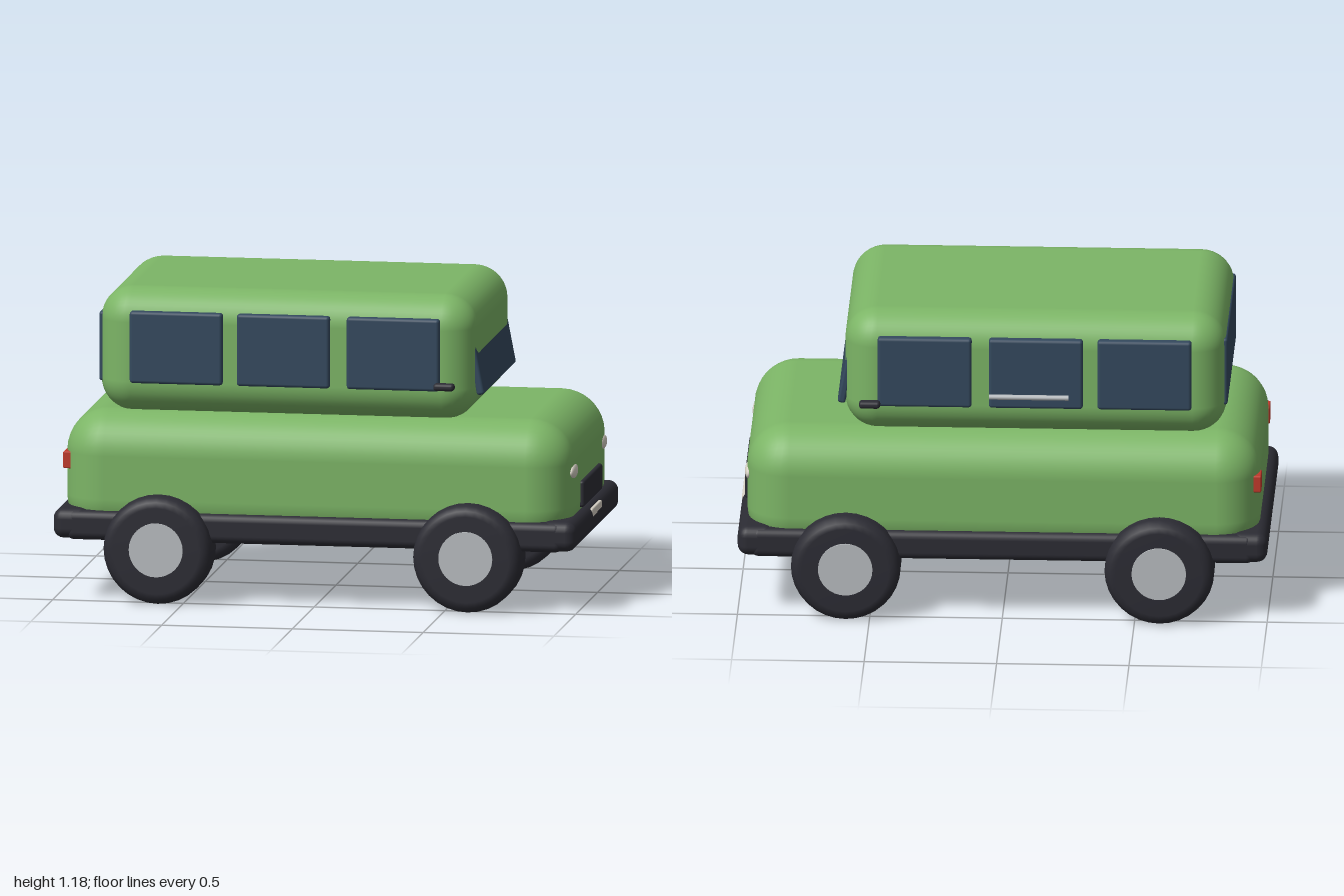
import * as THREE from 'three';
import { RoundedBoxGeometry } from 'three/addons/geometries/RoundedBoxGeometry.js';

function material(name, color) {
  const m = new THREE.MeshStandardMaterial({ color });
  m.name = name;
  return m;
}

export function createModel() {
  const car = new THREE.Group();
  car.name = 'car';
  const green = material('green paint', 0x7cb566);
  const dark = material('dark rubber', 0x2c2c34);
  const glass = material('blue glass', 0x34495e);
  const silver = material('silver', 0xb9bdc0);
  const cream = material('cream', 0xd8d2c6);
  const red = material('red lamp', 0xc0392b);

  function add(name, geometry, mat, x = 0, y = 0, z = 0) {
    const mesh = new THREE.Mesh(geometry, mat);
    mesh.name = name;
    mesh.position.set(x, y, z);
    car.add(mesh);
    return mesh;
  }
  // Rounded box given by its extents
  function block(name, mat, [x0, x1], [y0, y1], [z0, z1], radius, segments = 3) {
    const geo = new RoundedBoxGeometry(x1 - x0, y1 - y0, z1 - z0, segments, radius);
    return add(name, geo, mat, (x0 + x1) / 2, (y0 + y1) / 2, (z0 + z1) / 2);
  }

  // Body and cabin
  block('lowerBody', green, [-0.97, 0.97], [0.222, 0.718], [-0.497, 0.497], 0.165, 5);
  block('cabin', green, [-0.84, 0.6], [0.708, 1.185], [-0.45, 0.45], 0.125, 5);

  // Bumpers and side sills
  block('frontBumper', dark, [0.86, 1], [0.235, 0.35], [-0.515, 0.515], 0.04);
  block('rearBumper', dark, [-1, -0.86], [0.235, 0.35], [-0.515, 0.515], 0.04);
  block('sills', dark, [-0.95, 0.95], [0.232, 0.345], [-0.515, 0.515], 0.03);

  // Side windows and mirrors
  for (const s of [-1, 1]) {
    for (const x of [-0.535, -0.125, 0.295]) {
      const pane = new RoundedBoxGeometry(0.355, 0.275, 0.04, 2, 0.012);
      add('sideWindow', pane, glass, x, 0.968, s * 0.451);
    }
    add('mirror', new RoundedBoxGeometry(0.08, 0.028, 0.04, 2, 0.012), dark, 0.5, 0.858, s * 0.519);
  }

  // Sloping windscreen and rear window
  const screen = add('windscreen', new RoundedBoxGeometry(0.03, 0.28, 0.735, 2, 0.01), glass, 0.588, 0.943, 0);
  screen.rotation.z = 0.19;
  block('rearWindow', glass, [-0.845, -0.815], [0.82, 1.085], [-0.367, 0.367], 0.01, 2);

  // Grille, headlights, number plate and tail lights
  block('grille', dark, [0.945, 0.985], [0.36, 0.46], [-0.21, 0.21], 0.01, 2);
  block('plateUpper', cream, [0.97, 1.0], [0.3, 0.337], [-0.107, 0.107], 0.006, 2);
  block('plateLower', cream, [0.97, 0.998], [0.27, 0.281], [-0.107, 0.107], 0.003, 2);
  for (const s of [-1, 1]) {
    const lamp = add('headlight', new THREE.SphereGeometry(1, 24, 16), cream, 0.964, 0.52, s * 0.332);
    lamp.scale.set(0.015, 0.028, 0.057);
    block('tailLight', red, [-0.974, -0.94], [0.49, 0.555], [s * 0.38 - 0.04, s * 0.38 + 0.04], 0.005, 2);
  }

  // Grab bar on one side
  const bar = add('grabBar', new THREE.CylinderGeometry(0.01, 0.01, 0.3, 12), silver, -0.1, 0.89, -0.507);
  bar.rotation.z = Math.PI / 2;

  // Wheels: rounded tyre with a hub showing on both sides
  const w = 0.09, r = 0.207, b = 0.042;
  const profile = [[0, -w], [r - b, -w], [r - b * 0.5, -w + b * 0.13], [r - b * 0.13, -w + b * 0.5], [r, -w + b],
    [r, w - b], [r - b * 0.13, w - b * 0.5], [r - b * 0.5, w - b * 0.13], [r - b, w], [0, w]];
  const tyre = new THREE.LatheGeometry(profile.map(([x, y]) => new THREE.Vector2(x, y)), 32).rotateX(Math.PI / 2);
  const hub = new THREE.CylinderGeometry(0.103, 0.103, 0.192, 32).rotateX(Math.PI / 2);
  for (const x of [-0.594, 0.59]) {
    for (const s of [-1, 1]) {
      add('tyre', tyre, dark, x, r, s * 0.479);
      add('hub', hub, silver, x, r + 0.005, s * 0.479);
    }
  }
  return car;
}
